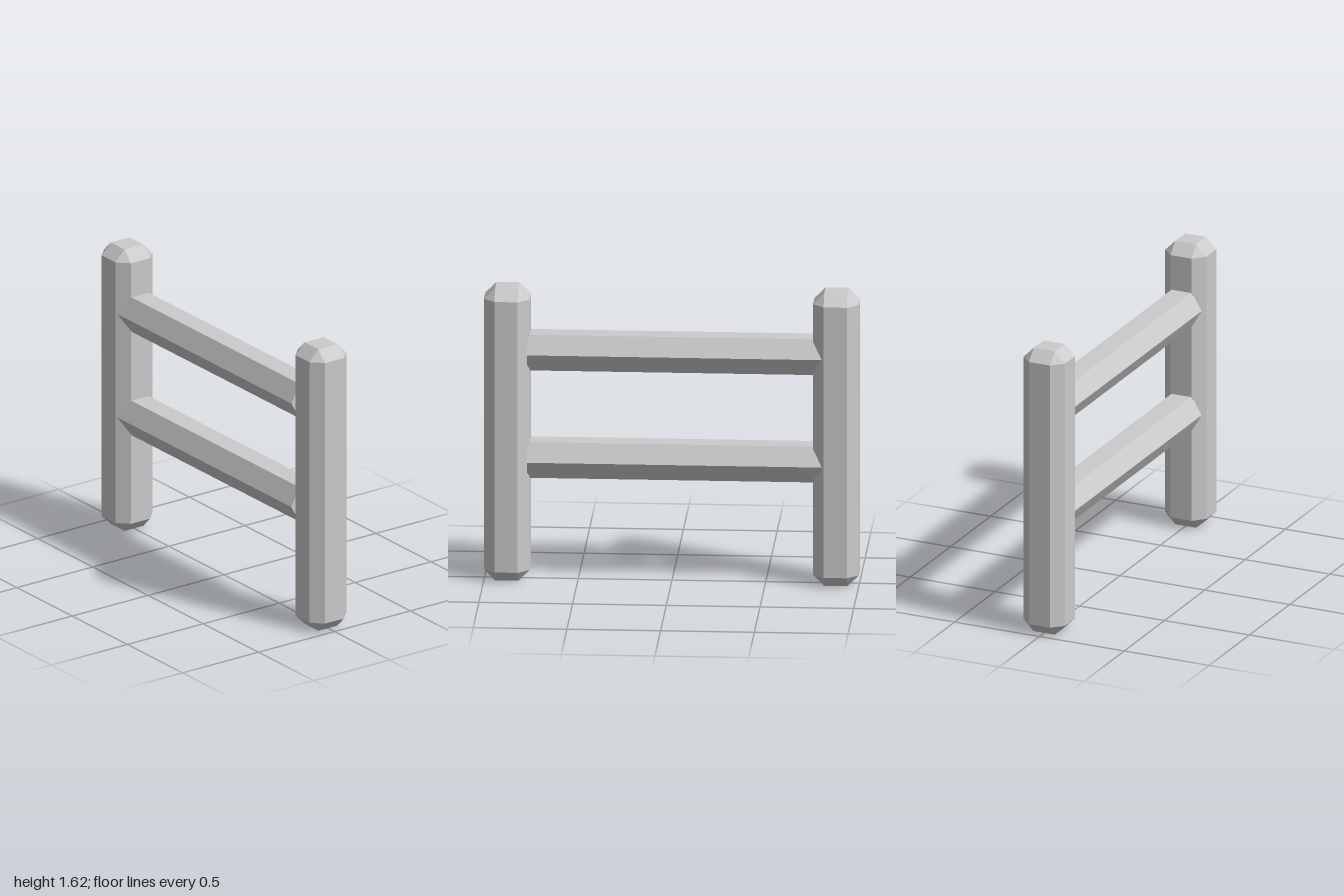
import * as THREE from 'three';
import { ConvexGeometry } from 'three/addons/geometries/ConvexGeometry.js';

const material = new THREE.MeshStandardMaterial({ color: 0xcccccc, flatShading: true });

// Box with chamfered edges and triangular corners, centred on the origin
function chamferedBox(width, height, depth, bevel) {
  const half = [width / 2, height / 2, depth / 2];
  const points = [];
  for (const sx of [-1, 1]) for (const sy of [-1, 1]) for (const sz of [-1, 1])
    for (let axis = 0; axis < 3; axis++) {
      const [x, y, z] = half.map((h, i) => (i === axis ? h : h - bevel));
      points.push(new THREE.Vector3(sx * x, sy * y, sz * z));
    }
  return new ConvexGeometry(points);
}

export function createModel() {
  const group = new THREE.Group();
  const add = (name, geometry, x, y, z) => {
    const mesh = new THREE.Mesh(geometry, material);
    mesh.name = name;
    mesh.position.set(x, y, z);
    group.add(mesh);
  };

  // Upright posts
  const postWidth = 0.244, postHeight = 1.616;
  const post = chamferedBox(postWidth, postHeight, postWidth, 0.06);
  const postZ = 1 - postWidth / 2;
  add('frontPost', post, 0, postHeight / 2, postZ);
  add('backPost', post, 0, postHeight / 2, -postZ);

  // Hexagonal rails: just inside the front post, sunk deeper into the back post
  const railFront = 0.768, railBack = -0.87;
  const rail = new THREE.CylinderGeometry(0.114, 0.114, railFront - railBack, 6);
  rail.rotateY(Math.PI / 2).rotateX(Math.PI / 2);
  const railZ = (railFront + railBack) / 2;
  add('lowerRail', rail, -0.002, 0.667, railZ);
  add('upperRail', rail, -0.002, 1.261, railZ);

  return group;
}
